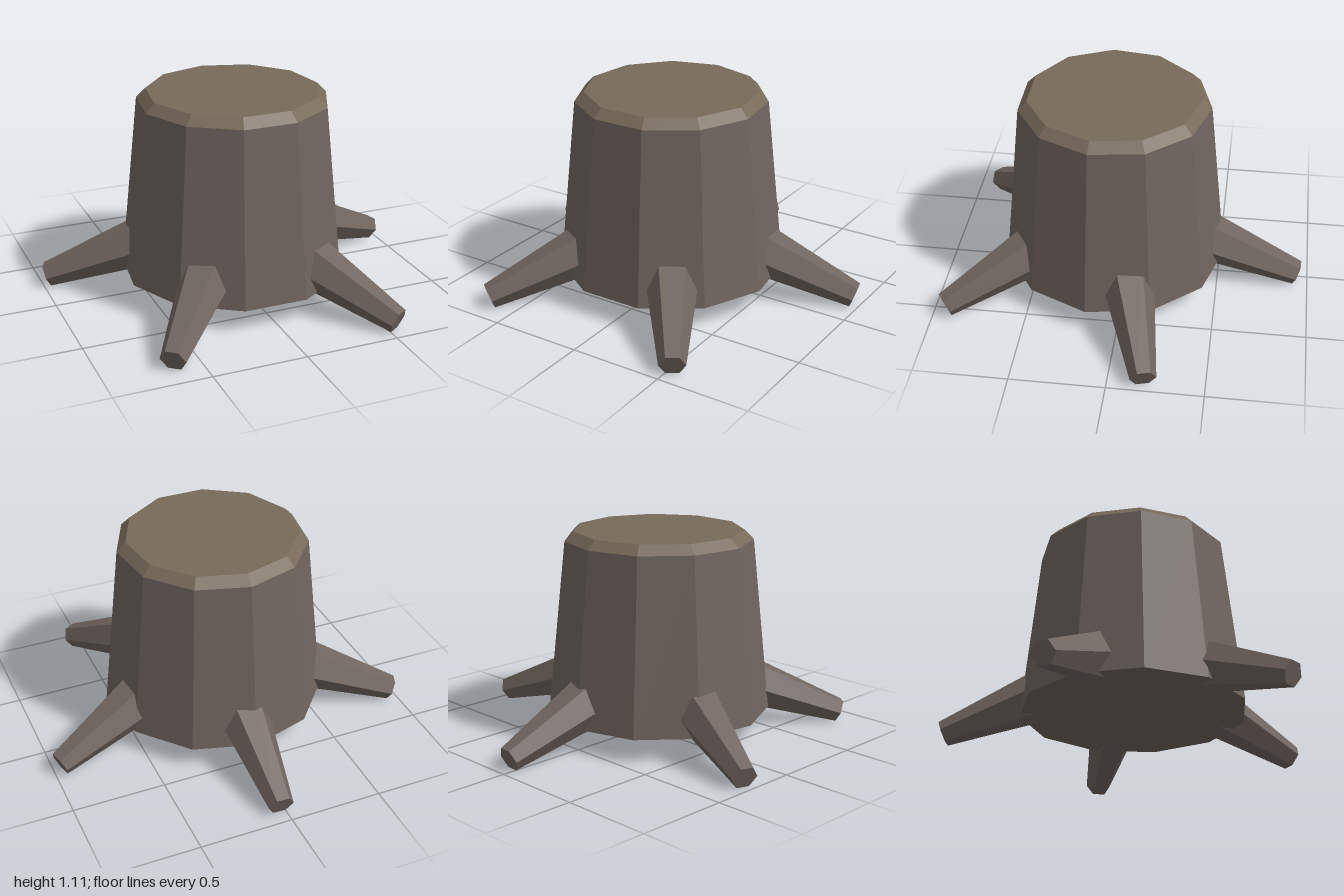
import * as THREE from 'three';

export function createModel() {
  const model = new THREE.Group();
  model.name = 'treeStump';

  const bark = new THREE.MeshStandardMaterial({ color: 0x70655f, flatShading: true });
  const wood = new THREE.MeshStandardMaterial({ color: 0x776a5a, flatShading: true });

  // Everything radiates from the trunk axis, set slightly off centre
  const stump = new THREE.Group();
  stump.name = 'stump';
  stump.position.set(-0.017, 0, 0.08);
  model.add(stump);

  // Eleven-sided tapered section between two heights, one corner to the back
  function section(name, rTop, rBottom, y0, y1, material) {
    const geometry = new THREE.CylinderGeometry(rTop, rBottom, y1 - y0, 11);
    geometry.rotateY(Math.PI);
    geometry.translate(0, (y0 + y1) / 2, 0);
    const mesh = new THREE.Mesh(geometry, material);
    mesh.name = name;
    stump.add(mesh);
  }
  section('trunk', 0.509, 0.607, 0.125, 1.06, bark);
  section('cutTop', 0.46, 0.509, 1.06, 1.11, wood);

  // Five hexagonal roots sloping out and down to the ground
  const slope = THREE.MathUtils.degToRad(20.3);
  const length = 0.64;
  for (let i = 0; i < 5; i++) {
    const geometry = new THREE.CylinderGeometry(0.068, 0.149, length, 6);
    geometry.translate(0, -length / 2, 0); // tip at the origin
    geometry.rotateZ(-Math.PI / 2 - slope);
    geometry.translate(1.02, 0.056, 0);
    const root = new THREE.Mesh(geometry, bark);
    root.name = `root${i + 1}`;
    root.rotation.y = THREE.MathUtils.degToRad(87.2 - 72 * i);
    stump.add(root);
  }

  return model;
}
